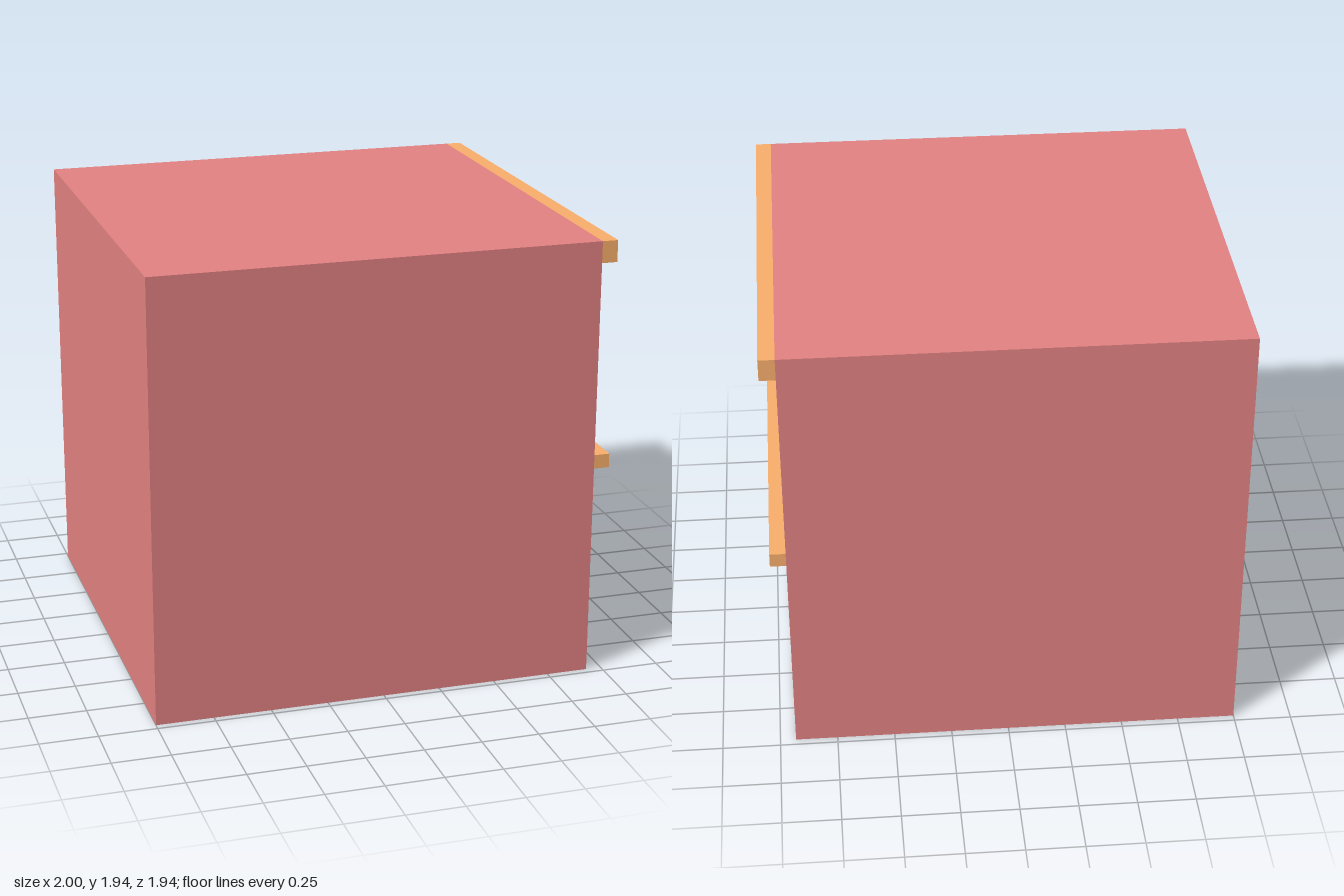
import * as THREE from 'three';

const mat = (color) => new THREE.MeshStandardMaterial({ color });

// Rectangle as a closed path, centred on (u, v)
function rect(path, u, v, w, h) {
  path.moveTo(u - w / 2, v - h / 2);
  path.lineTo(u + w / 2, v - h / 2);
  path.lineTo(u + w / 2, v + h / 2);
  path.lineTo(u - w / 2, v + h / 2);
  path.closePath();
  return path;
}

// Extrude a shape drawn in the facade plane from x0 to x1
function slab(shape, x0, x1) {
  const g = new THREE.ExtrudeGeometry(shape, { depth: x1 - x0, bevelEnabled: false });
  return g.rotateY(Math.PI / 2).translate(x0, 0, 0);
}

export function createModel() {
  const model = new THREE.Group();
  const brick = mat(0xe48282);
  const stone = mat(0xfab06c);
  const paint = mat(0x4289e8);
  const glass = mat(0xcccccc);

  const add = (parent, name, geometry, material) => {
    const mesh = new THREE.Mesh(geometry, material);
    mesh.name = name;
    parent.add(mesh);
    return mesh;
  };
  // Box given by its x range, y range and z width
  const box = (x0, x1, y0, y1, w) =>
    new THREE.BoxGeometry(x1 - x0, y1 - y0, w).translate((x0 + x1) / 2, (y0 + y1) / 2, 0);

  const H = 1.937, D = 1.936;            // building height and width along z
  const FRONT = 0.932, BACK = 0.83;      // facade outer and inner planes
  const PANE = 0.84, FRAME = 0.907;      // glass plane and frame front plane
  const W = 0.287, EDGE = 0.026;         // window width and frame thickness
  const columns = [-0.702, -0.235, 0.235, 0.702];
  const storeys = [                      // window bottom, top and sash bar height
    { y0: 0.193, y1: 0.868, bar: 0.488 },
    { y0: 1.06, y1: 1.745, bar: 1.358 },
  ];

  // Solid block behind the facade
  add(model, 'buildingBody', box(-1, BACK, 0, H, D), brick);

  // Facade wall pierced by the window openings
  const wall = rect(new THREE.Shape(), 0, H / 2, D, H);
  for (const { y0, y1 } of storeys)
    for (const z of columns)
      wall.holes.push(rect(new THREE.Path(), z, (y0 + y1) / 2, W, y1 - y0));
  add(model, 'facadeWall', slab(wall, BACK, FRONT), brick);

  // Recessed sash windows
  for (const { y0, y1, bar } of storeys) {
    const mid = (y0 + y1) / 2, h = y1 - y0;
    const outline = rect(new THREE.Shape(), 0, mid, W, h);
    outline.holes.push(rect(new THREE.Path(), 0, mid, W - 2 * EDGE, h - 2 * EDGE));
    const frameGeometry = slab(outline, BACK, FRAME);
    const paneGeometry = box(BACK, PANE, y0 + EDGE, y1 - EDGE, W - 2 * EDGE);
    const barGeometry = box(PANE, 0.885, bar - 0.019, bar + 0.019, W - 2 * EDGE);
    for (const z of columns) {
      const windowGroup = new THREE.Group();
      windowGroup.name = 'window';
      windowGroup.position.z = z;
      add(windowGroup, 'windowFrame', frameGeometry, paint);
      add(windowGroup, 'windowPane', paneGeometry, glass);
      add(windowGroup, 'sashBar', barGeometry, paint);
      model.add(windowGroup);
    }
  }

  // Projecting stone bands
  add(model, 'stringCourse', box(FRONT, 1, 0.937, 0.998, D), stone);
  add(model, 'cornice', box(FRONT, 1, 1.843, H, D), stone);

  return model;
}
